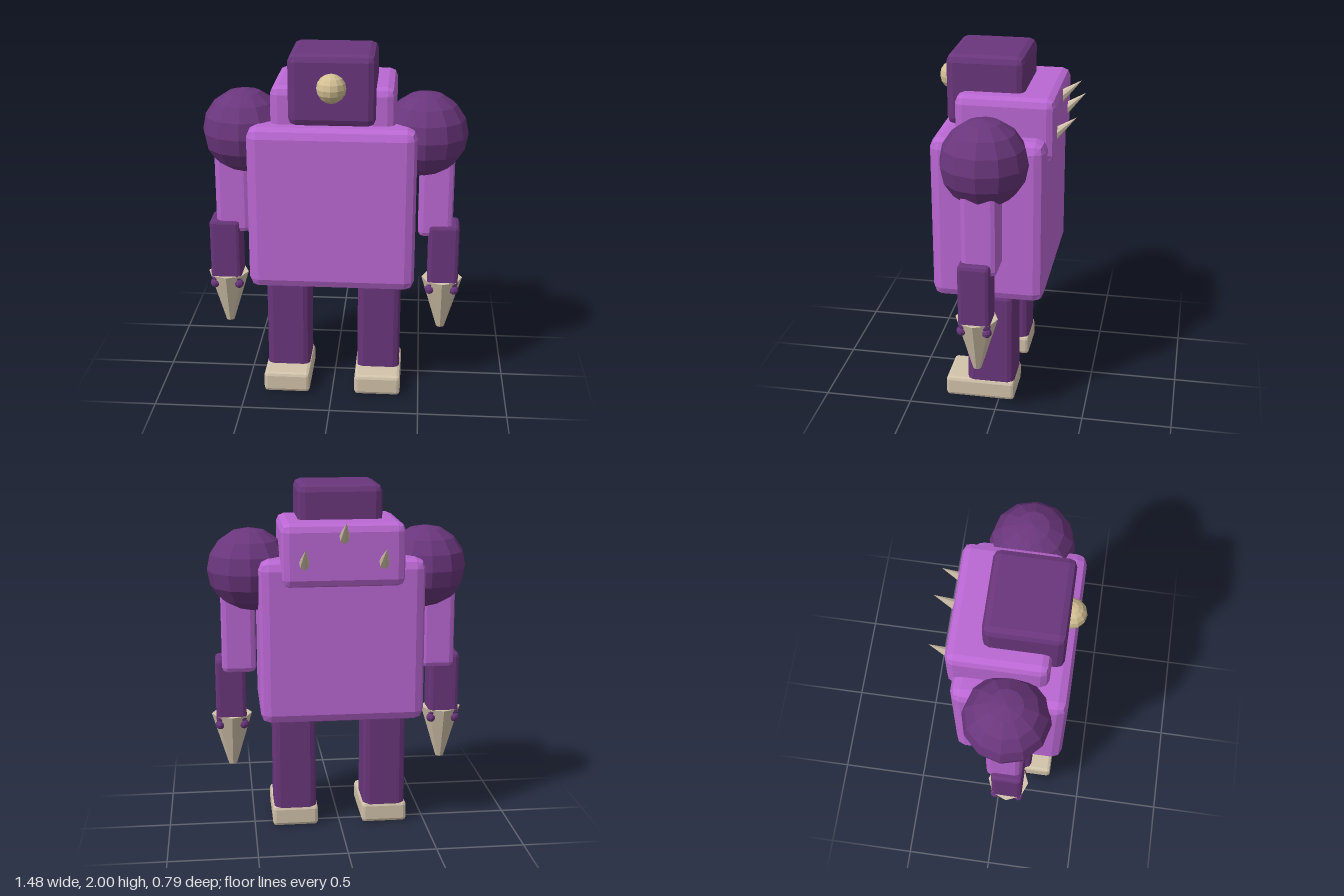
import * as THREE from 'three';
import { RoundedBoxGeometry } from 'three/addons/geometries/RoundedBoxGeometry.js';

function paint(name, hex) {
  const m = new THREE.MeshStandardMaterial({ color: hex });
  m.name = name;
  return m;
}

// Hard facets: split the vertices and give each face its own normal
function faceted(geometry) {
  const g = geometry.index ? geometry.toNonIndexed() : geometry;
  g.computeVertexNormals();
  return g;
}

export function createModel() {
  const violet = paint('violet', 0xbb68d4);
  const darkPurple = paint('dark purple', 0x6a367c);
  const bone = paint('bone', 0xd2c3ab);
  const eyeGold = paint('pale gold', 0xd4c195);

  const model = new THREE.Group();
  model.name = 'robot';

  function add(parent, name, geometry, material, x, y, z) {
    const mesh = new THREE.Mesh(faceted(geometry), material);
    mesh.name = name;
    mesh.position.set(x, y, z);
    parent.add(mesh);
    return mesh;
  }

  // Bevelled block given by its extents on each axis
  function block(parent, name, material, [x0, x1], [y0, y1], [z0, z1], bevel) {
    const g = new RoundedBoxGeometry(x1 - x0, y1 - y0, z1 - z0, 1, bevel);
    return add(parent, name, g, material, (x0 + x1) / 2, (y0 + y1) / 2, (z0 + z1) / 2);
  }

  // Body and head
  block(model, 'torso', violet, [-0.46, 0.46], [0.68, 1.605], [-0.26, 0.36], 0.055);
  block(model, 'upperBack', violet, [-0.34, 0.34], [1.46, 1.81], [-0.295, 0.245], 0.045);
  block(model, 'head', darkPurple, [-0.235, 0.235], [1.61, 2.0], [-0.115, 0.31], 0.04);
  add(model, 'eye', new THREE.SphereGeometry(0.08, 12, 8), eyeGold, 0, 1.825, 0.313);

  // Spikes on the back, the middle one higher; each leans back and up
  const lean = THREE.MathUtils.degToRad(40);
  for (const [x, tipY] of [[-0.217, 1.69], [0, 1.83], [0.217, 1.69]]) {
    const length = 0.165;
    const spike = add(model, 'backSpike', new THREE.ConeGeometry(0.035, length, 8), bone,
      x, tipY - Math.sin(lean) * length / 2, -0.395 + Math.cos(lean) * length / 2);
    spike.rotation.x = -(Math.PI / 2 - lean);
  }

  for (const side of [1, -1]) {
    const word = side > 0 ? 'left' : 'right';
    const span = (a, b) => (side > 0 ? [a, b] : [-b, -a]);

    // Arm
    const arm = new THREE.Group();
    arm.name = word + 'Arm';
    model.add(arm);
    add(arm, 'shoulder', new THREE.SphereGeometry(0.237, 12, 8), darkPurple, side * 0.503, 1.515, 0.05);
    block(arm, 'upperArm', violet, span(0.475, 0.67), [0.93, 1.5], [-0.045, 0.15], 0.03);
    block(arm, 'forearm', darkPurple, span(0.535, 0.71), [0.62, 1.005], [-0.013, 0.162], 0.022);

    // Pointed hand with four knobs round the rim
    const hx = side * 0.62, hz = 0.075;
    add(arm, 'handSpike', new THREE.CylinderGeometry(0.117, 0.024, 0.31, 8), bone, hx, 0.505, hz);
    for (let i = 0; i < 4; i++) {
      const a = Math.PI / 4 + i * Math.PI / 2;
      add(arm, 'handKnob', new THREE.SphereGeometry(0.028, 8, 6), darkPurple,
        hx + 0.098 * Math.cos(a), 0.612, hz + 0.098 * Math.sin(a));
    }

    // Leg
    const leg = new THREE.Group();
    leg.name = word + 'Leg';
    model.add(leg);
    block(leg, 'shin', darkPurple, span(0.14, 0.385), [0.06, 0.68], [-0.085, 0.185], 0.035);
    block(leg, 'foot', bone, span(0.13, 0.395), [0, 0.12], [-0.09, 0.31], 0.02);
  }

  return model;
}
